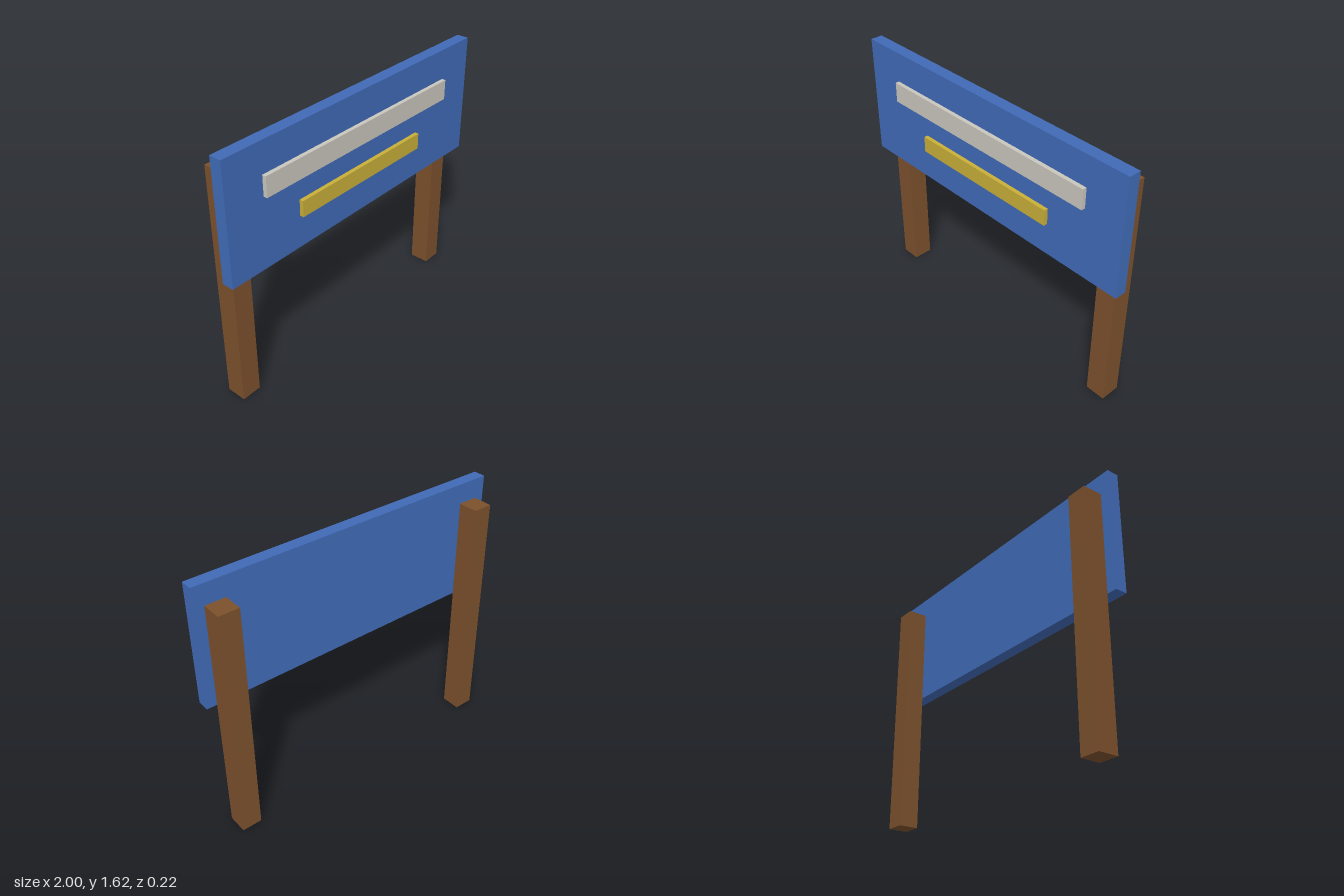
import * as THREE from 'three';

const material = (name, color) => {
  const m = new THREE.MeshStandardMaterial({ color });
  m.name = name;
  return m;
};

export function createModel() {
  const wood = material('brown wood', 0x7b502c);
  const blue = material('blue paint', 0x406ab6);
  const white = material('off white', 0xc9c5bd);
  const yellow = material('yellow', 0xc8ae38);

  const sign = new THREE.Group();
  sign.name = 'signboard';

  // Box given by its size, centre x, bottom y and back z
  const addBox = (name, mat, [w, h, d], x, bottom, back) => {
    const mesh = new THREE.Mesh(new THREE.BoxGeometry(w, h, d), mat);
    mesh.name = name;
    mesh.position.set(x, bottom + h / 2, back + d / 2);
    sign.add(mesh);
  };

  // Two square posts behind the board
  for (const [name, side] of [['leftPost', 1], ['rightPost', -1]]) {
    addBox(name, wood, [0.125, 1.5, 0.125], side * 0.875, 0, -0.1125);
  }

  // Board and its raised strips
  addBox('board', blue, [2, 0.75, 0.075], 0, 0.875, 0.0125);
  addBox('upperStrip', white, [1.5, 0.125, 0.025], 0, 1.3125, 0.0875);
  addBox('lowerStrip', yellow, [1, 0.1, 0.025], 0, 1.075, 0.0875);

  return sign;
}
